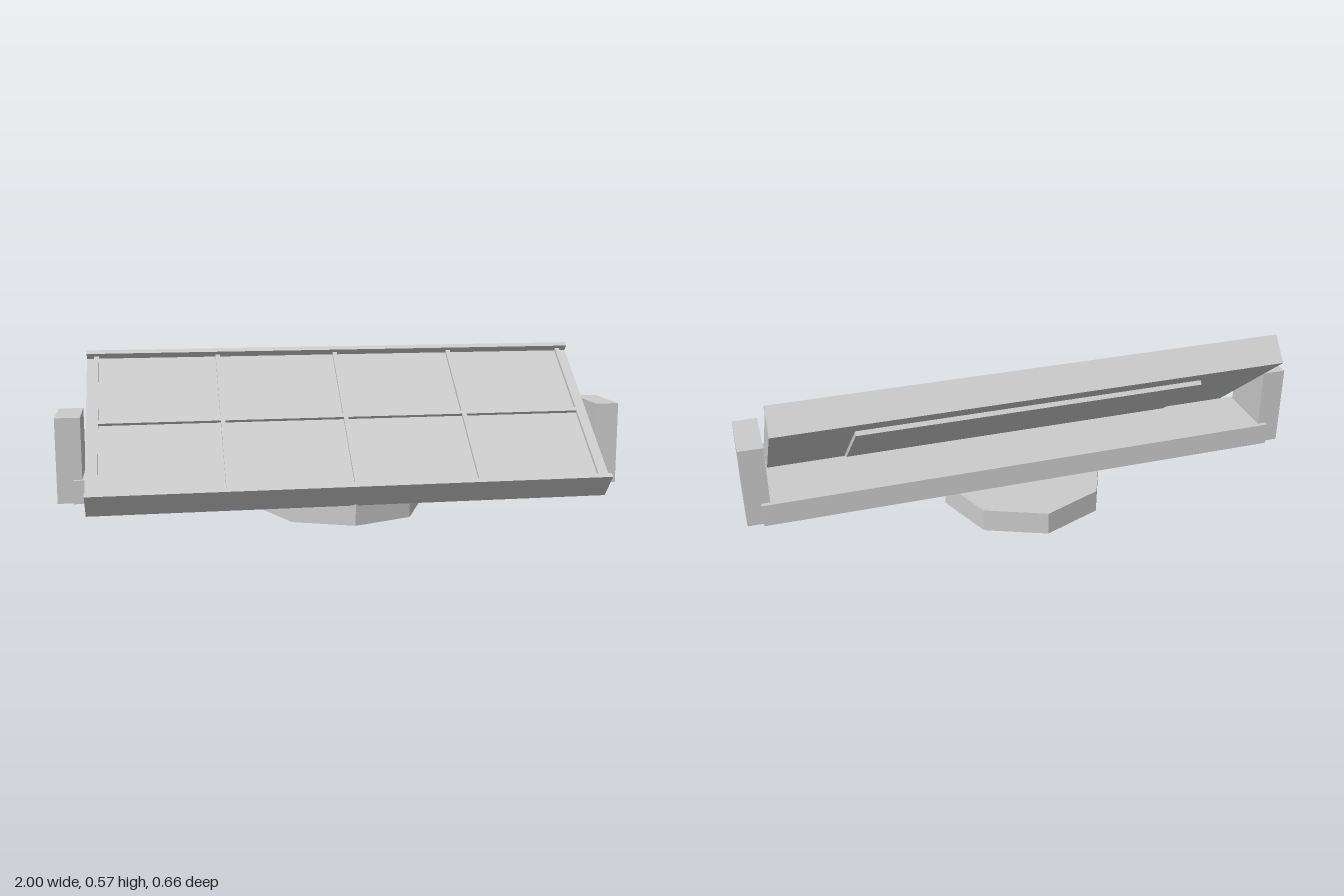
import * as THREE from 'three';

export function createModel() {
  const model = new THREE.Group();
  const grey = new THREE.MeshStandardMaterial({ color: 0xcccccc, flatShading: true });
  grey.name = 'light grey';

  // Box given by its [min, max] range on each axis
  function box(parent, name, [x0, x1], [y0, y1], [z0, z1]) {
    const mesh = new THREE.Mesh(new THREE.BoxGeometry(x1 - x0, y1 - y0, z1 - z0), grey);
    mesh.position.set((x0 + x1) / 2, (y0 + y1) / 2, (z0 + z1) / 2);
    mesh.name = name;
    parent.add(mesh);
  }

  // Octagonal foot
  const base = new THREE.Mesh(new THREE.CylinderGeometry(0.296, 0.296, 0.083, 8), grey);
  base.position.set(0, 0.0415, -0.031);
  base.name = 'base';
  model.add(base);

  // Cradle: cross beam with an upright block at each end
  box(model, 'crossBeam', [-0.945, 0.945], [0.083, 0.164], [-0.113, 0.132]);
  box(model, 'leftUpright', [0.915, 1], [0.083, 0.377], [-0.097, 0.117]);
  box(model, 'rightUpright', [-1, -0.915], [0.083, 0.377], [-0.097, 0.117]);

  // Tilted panel: local y runs up the slope, local z points out of its face
  const panel = new THREE.Group();
  panel.name = 'panel';
  panel.rotation.x = THREE.MathUtils.degToRad(-50);
  model.add(panel);

  const low = -0.154, high = 0.502, lip = 0.018, mid = (low + high) / 2;
  const face = 0.302, railTop = 0.3135, lipTop = 0.327;
  box(panel, 'panelBody', [-0.9, 0.9], [low, high], [0.221, face]);
  box(panel, 'lowerLip', [-0.9, 0.9], [low, low + lip], [face, lipTop]);
  box(panel, 'upperLip', [-0.9, 0.9], [high - lip, high], [face, lipTop]);
  box(panel, 'backPlate', [-0.62, 0.62], [-0.053, 0.4045], [0.2045, 0.221]);

  // Raised grid dividing the face into eight cells
  const half = 0.008;
  for (let i = -2; i <= 2; i++) {
    const x = i * 0.433;
    box(panel, 'uprightRail', [x - half, x + half], [low + lip, high - lip], [face, railTop]);
  }
  box(panel, 'middleRail', [-0.866, 0.866], [mid - half, mid + half], [face, railTop]);

  return model;
}
